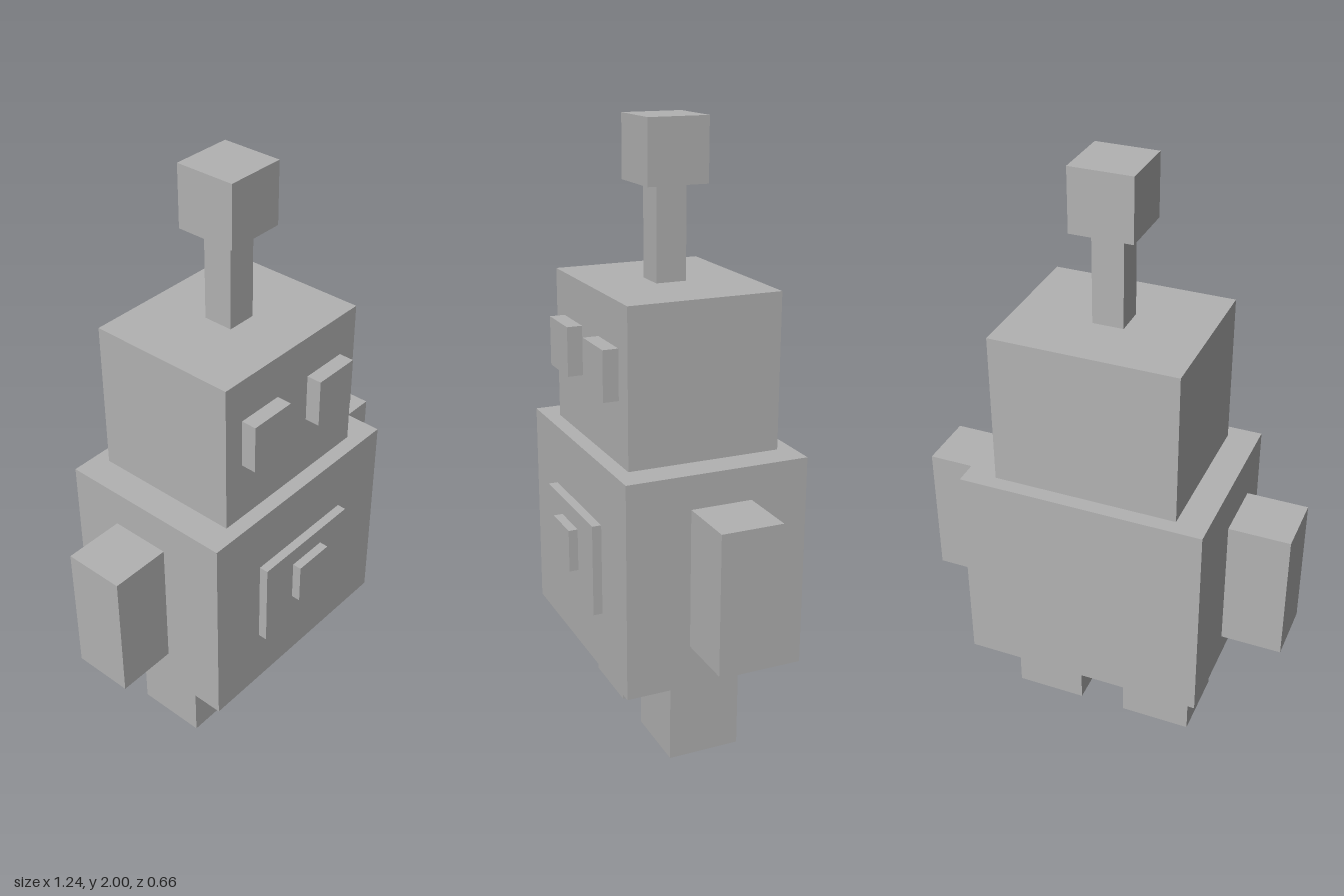
import * as THREE from 'three';

export function createModel() {
  const model = new THREE.Group();
  model.name = 'robot';
  const grey = new THREE.MeshStandardMaterial({ color: 0xb2b2b2 });
  grey.name = 'grey';

  // Box given by its centre x, bottom y, centre z and size
  const block = (name, [x, y, z], [w, h, d]) => {
    const mesh = new THREE.Mesh(new THREE.BoxGeometry(w, h, d), grey);
    mesh.name = name;
    mesh.position.set(x, y + h / 2, z);
    model.add(mesh);
  };

  const mid = -0.03; // shared depth centre of the main blocks

  // Torso, head and antenna
  block('torso', [0, 0.3, mid], [0.8, 0.7, 0.6]);
  block('head', [0, 1, mid], [0.6, 0.5, 0.5]);
  block('antennaStem', [0, 1.5, mid], [0.1, 0.3, 0.1]);
  block('antennaTip', [0, 1.8, mid], [0.2, 0.2, 0.2]);

  // Chest panel with its button
  block('chestPanel', [0, 0.5, 0.285], [0.4, 0.3, 0.03]);
  block('chestButton', [0, 0.6, 0.315], [0.14, 0.14, 0.03]);

  // Paired parts
  for (const [side, s] of [['left', 1], ['right', -1]]) {
    block(side + 'Eye', [s * 0.15, 1.2, 0.245], [0.16, 0.16, 0.05]);
    block(side + 'Arm', [s * 0.52, 0.45, mid], [0.2, 0.45, 0.2]);
    block(side + 'Leg', [s * 0.2, 0, mid], [0.24, 0.3, 0.24]);
  }
  return model;
}
